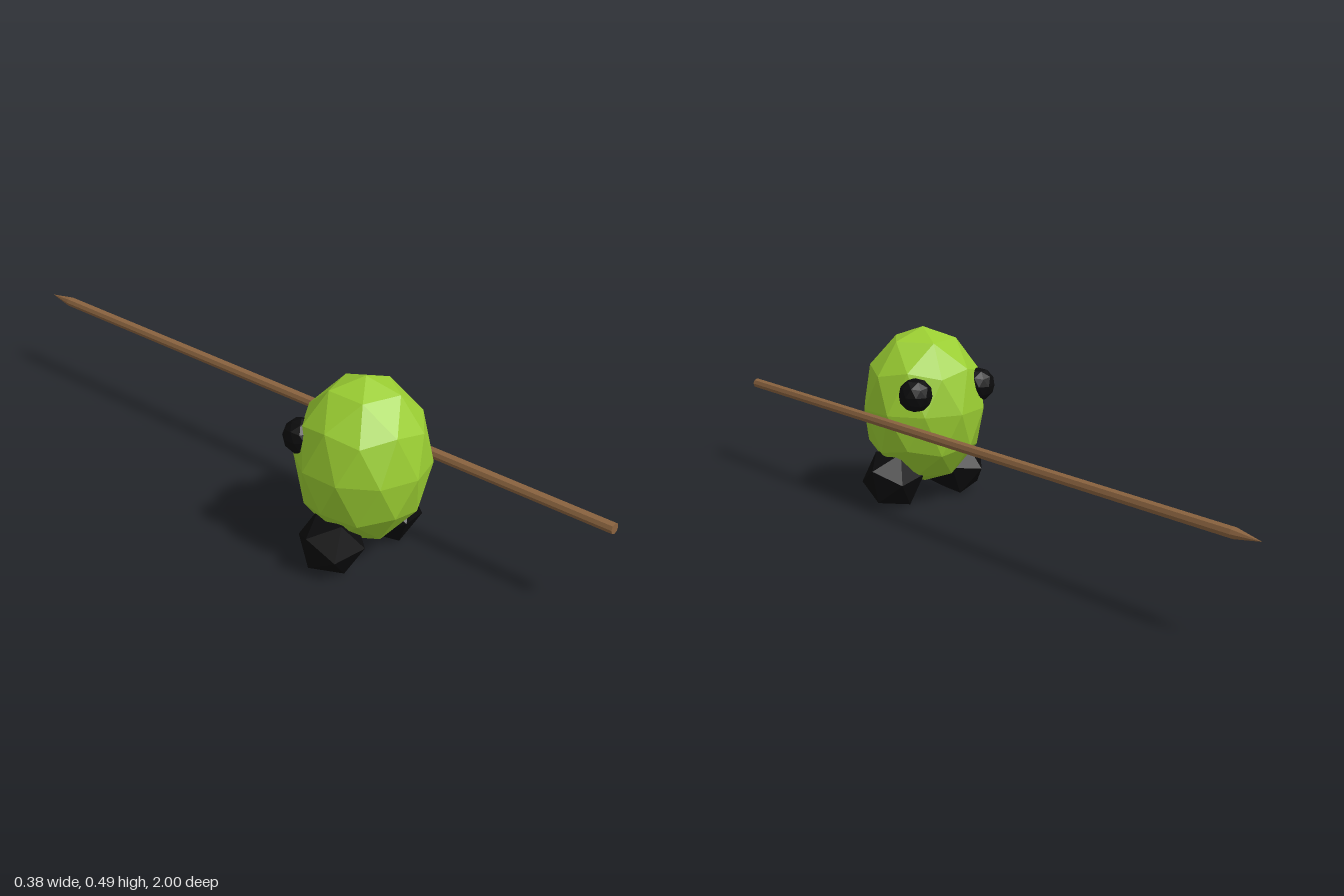
import * as THREE from 'three';

const green = new THREE.MeshStandardMaterial({ name: 'leaf green', color: 0x9acd32 });
const black = new THREE.MeshStandardMaterial({ name: 'black', color: 0x0b0b0c });
const brown = new THREE.MeshStandardMaterial({ name: 'wood brown', color: 0x8b6440 });

const BODY_Z = 0.385;
const POLE_TILT = Math.atan(2 / (1 + Math.sqrt(5))); // brings an icosahedron corner upright

// Facets a geometry and adds it to the group as a named part
function addPart(group, name, geometry, material, x, y, z) {
  const flat = geometry.index ? geometry.toNonIndexed() : geometry;
  flat.computeVertexNormals();
  const mesh = new THREE.Mesh(flat, material);
  mesh.name = name;
  mesh.position.set(x, y, z);
  group.add(mesh);
}

// Faceted ball standing on one of its corners
function facetedBall(rx, ry, rz) {
  return new THREE.IcosahedronGeometry(1, 1).rotateZ(-POLE_TILT).scale(rx, ry, rz);
}

export function createModel() {
  const model = new THREE.Group();
  model.name = 'spearCarrier';

  // Egg-shaped body
  addPart(model, 'body', facetedBall(0.173, 0.221, 0.173), green, 0, 0.273, BODY_Z);

  for (const side of [1, -1]) {
    const label = side > 0 ? 'left' : 'right';

    // Chunky foot, turned outward
    const foot = new THREE.IcosahedronGeometry(0.088, 0)
      .rotateZ(-side * THREE.MathUtils.degToRad(98.5))
      .rotateX(0.08)
      .rotateY(side * 0.21);
    addPart(model, label + 'Foot', foot, black, side * 0.11, 0.079, BODY_Z);

    // Round eye half sunk into the body, facing -z
    addPart(model, label + 'Eye', facetedBall(0.047, 0.047, 0.047), black,
      side * 0.108, 0.333, BODY_Z - 0.108);
  }

  // Long spear along the left flank, pointing to -z
  const shaft = new THREE.CylinderGeometry(0.0142, 0.0142, 1.92, 8).rotateX(-Math.PI / 2);
  addPart(model, 'spearShaft', shaft, brown, 0.165, 0.253, 0.04);
  const tip = new THREE.ConeGeometry(0.0142, 0.08, 8).rotateX(-Math.PI / 2);
  addPart(model, 'spearTip', tip, brown, 0.165, 0.253, -0.96);

  return model;
}
